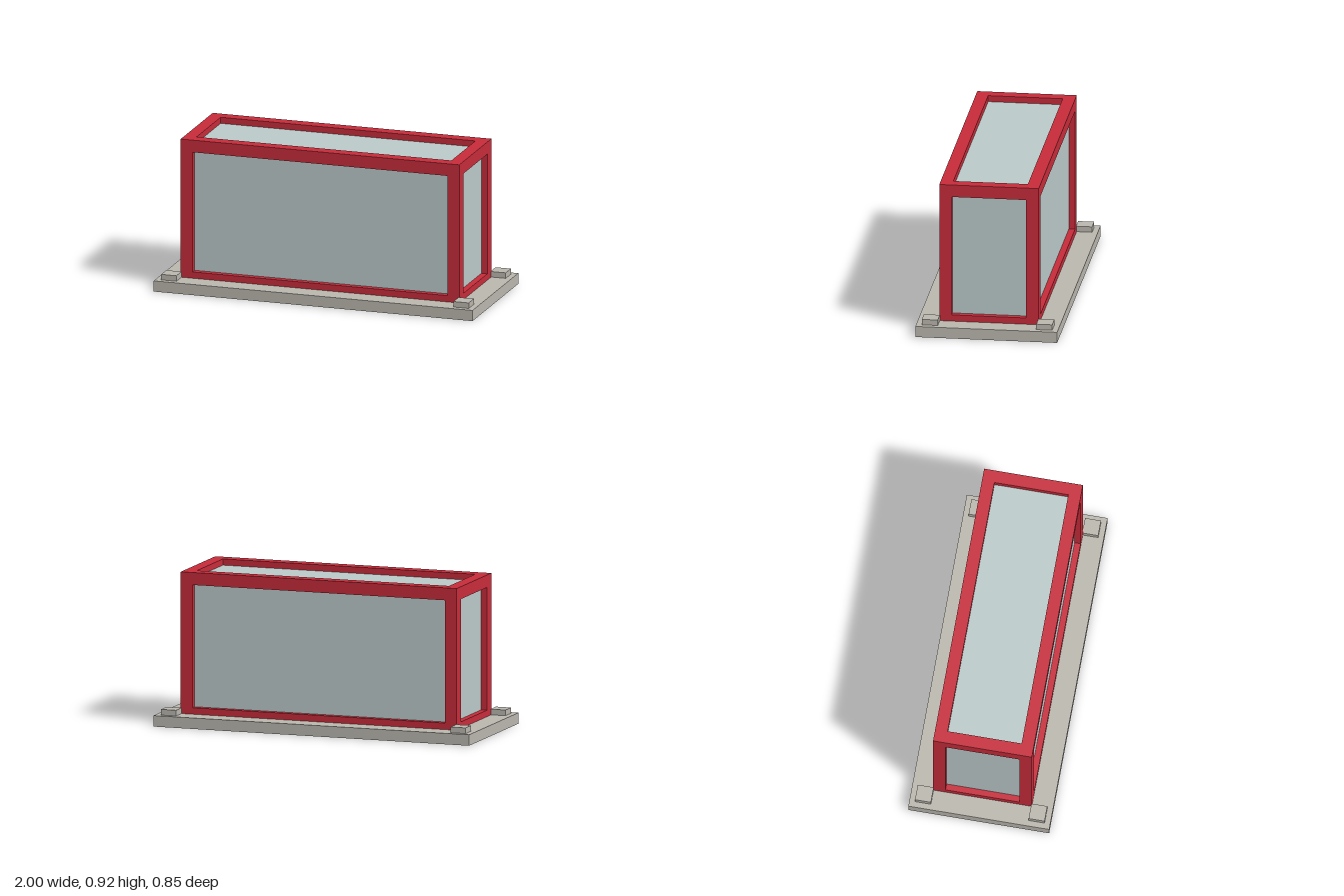
import * as THREE from 'three';

export function createModel() {
  const model = new THREE.Group();
  model.name = 'framedGlassBox';

  const material = (name, color) => {
    const m = new THREE.MeshStandardMaterial({ color });
    m.name = name;
    return m;
  };
  const red = material('red frame', 0xc72c3a);
  const glass = material('pale glass', 0xbccaca);
  const stone = material('grey stone', 0xbbb7af);

  // Box given by its size and centre
  const box = (name, mat, w, h, d, x, y, z, parent = model) => {
    const mesh = new THREE.Mesh(new THREE.BoxGeometry(w, h, d), mat);
    mesh.name = name;
    mesh.position.set(x, y, z);
    parent.add(mesh);
  };

  // Base slab and its four corner pads
  const slabTop = 0.066;
  box('baseSlab', stone, 2, slabTop, 0.85, 0, slabTop / 2, 0);
  for (const sx of [-1, 1]) for (const sz of [-1, 1]) {
    box('cornerPad', stone, 0.096, 0.034, 0.096, sx * 0.917, slabTop + 0.017, sz * 0.343);
  }

  // Frame of square bars; the lower rails are sunk into the slab
  const frame = new THREE.Group();
  frame.name = 'frame';
  model.add(frame);
  const bar = 0.075, halfX = 0.874, halfZ = 0.298, bottom = 0.03, top = 0.92;
  const cx = halfX - bar / 2, cz = halfZ - bar / 2;
  const lowY = bottom + bar / 2, highY = top - bar / 2;
  for (const sx of [-1, 1]) for (const sz of [-1, 1]) {
    box('cornerPost', red, bar, top - bottom, bar, sx * cx, (top + bottom) / 2, sz * cz, frame);
  }
  for (const y of [lowY, highY]) for (const s of [-1, 1]) {
    box('longRail', red, 2 * (halfX - bar), bar, bar, 0, y, s * cz, frame);
    box('shortRail', red, bar, bar, 2 * (halfZ - bar), s * cx, y, 0, frame);
  }

  // Glass body, its faces set back to the middle of the bars
  box('glassBody', glass, 2 * cx, highY - lowY, 2 * cz, 0, (lowY + highY) / 2, 0);

  return model;
}
